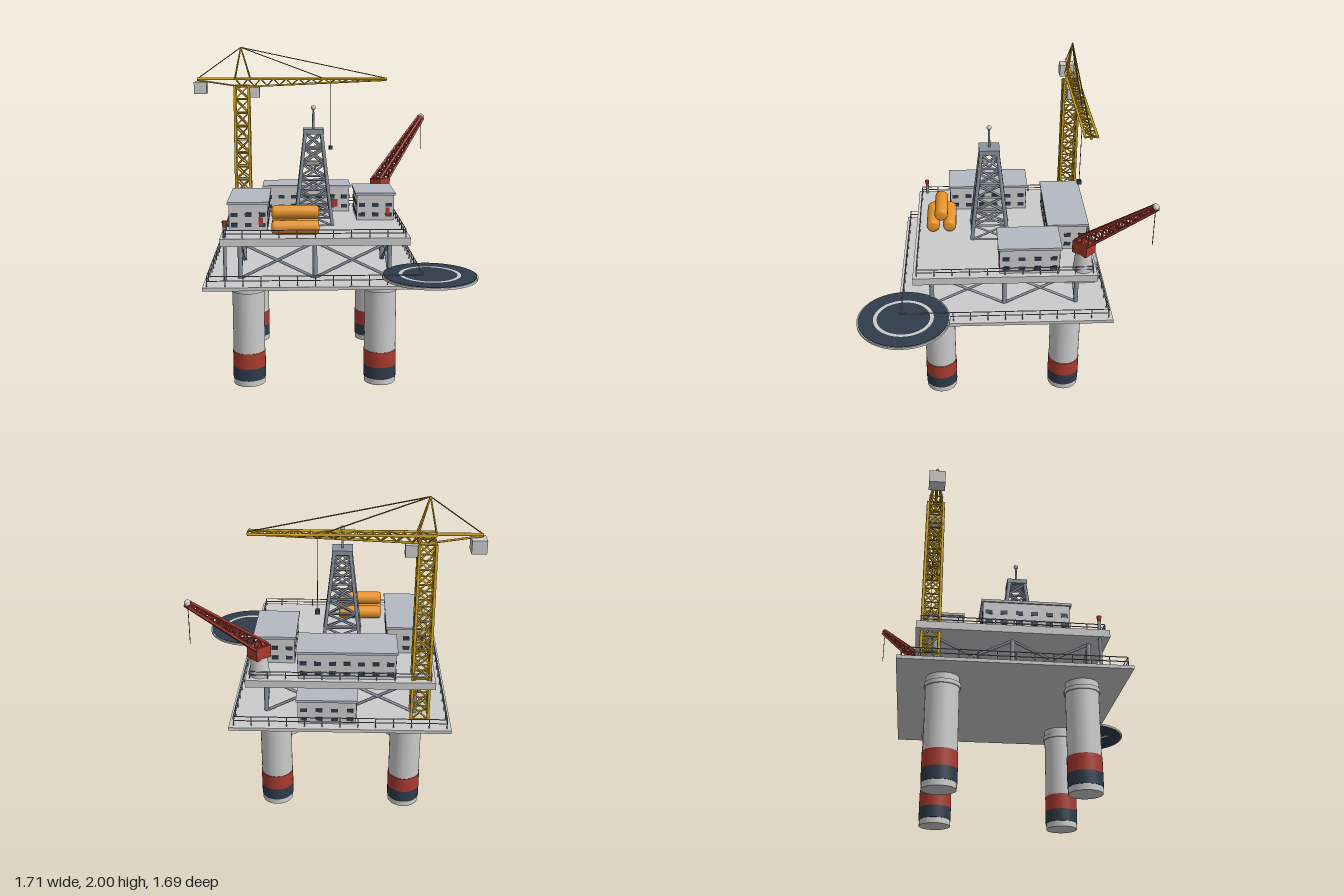
import * as THREE from 'three';
import { mergeGeometries } from 'three/addons/utils/BufferGeometryUtils.js';

const GREY = 0xcccccc, STEEL = 0x8a939e, ROOF = 0xb4bac2, NAVY = 0x2f3c4b, RED = 0xab3b2f, YELLOW = 0xdcae22, ORANGE = 0xe8942a, DARK = 0x3a4048;
const mats = {};
const mat = (c) => (mats[c] ??= new THREE.MeshStandardMaterial({ color: c }));
const V = (x, y, z) => new THREE.Vector3(x, y, z);

// Round bar between two points
function bar(a, b, r, r2 = r, sides = 6) {
  const d = b.clone().sub(a);
  const g = new THREE.CylinderGeometry(r2, r, d.length(), sides);
  g.applyQuaternion(new THREE.Quaternion().setFromUnitVectors(V(0, 1, 0), d.normalize()));
  const m = a.clone().add(b).multiplyScalar(0.5);
  return g.translate(m.x, m.y, m.z);
}

// Box given by its limits
function box(x0, x1, y0, y1, z0, z1) {
  return new THREE.BoxGeometry(x1 - x0, y1 - y0, z1 - z0).translate((x0 + x1) / 2, (y0 + y1) / 2, (z0 + z1) / 2);
}

// Four-chord lattice column from a to b, tapering from half width w0 to w1
function lattice(a, b, w0, w1, n, r, rb, side = V(1, 0, 0)) {
  const up = new THREE.Vector3().crossVectors(side, b.clone().sub(a)).normalize();
  const out = [];
  const corner = (i, k) => {
    const t = i / n, w = w0 + (w1 - w0) * t;
    return a.clone().lerp(b, t)
      .addScaledVector(side, w * (k % 4 === 0 || k % 4 === 3 ? 1 : -1))
      .addScaledVector(up, w * (k % 4 < 2 ? 1 : -1));
  };
  for (let k = 0; k < 4; k++) {
    out.push(bar(corner(0, k), corner(n, k), r));
    for (let i = 0; i <= n; i++) {
      out.push(bar(corner(i, k), corner(i, k + 1), rb));
      if (i === n) continue;
      out.push(bar(corner(i, k), corner(i + 1, k + 1), rb));
      out.push(bar(corner(i, k + 1), corner(i + 1, k), rb));
    }
  }
  return out;
}

export function createModel() {
  const model = new THREE.Group();
  const add = (name, color, geos, parent = model) => {
    const list = Array.isArray(geos) ? geos : [geos];
    const m = new THREE.Mesh(list.length > 1 ? mergeGeometries(list) : list[0], mat(color));
    m.name = name;
    parent.add(m);
    return m;
  };
  const cyl = (x, z, y0, y1, r0, r1 = r0, s = 32) => new THREE.CylinderGeometry(r1, r0, y1 - y0, s).translate(x, (y0 + y1) / 2, z);

  // Legs with painted bands and collar
  for (const x of [-0.477, 0.313]) for (const z of [0.365, -0.423]) {
    const leg = new THREE.Group();
    leg.name = 'leg';
    add('legColumn', GREY, [cyl(x, z, 0, 0.645, 0.095), cyl(x, z, 0.578, 0.602, 0.103)], leg);
    add('navyBand', NAVY, cyl(x, z, 0.035, 0.11, 0.098), leg);
    add('redBand', RED, cyl(x, z, 0.11, 0.205, 0.098), leg);
    model.add(leg);
  }

  // Decks
  add('lowerDeck', GREY, box(-0.725, 0.565, 0.64, 0.66, -0.68, 0.61));
  add('upperDeck', GREY, box(-0.63, 0.47, 0.875, 0.92, -0.585, 0.51));

  // Railings
  function railing(name, x0, x1, z0, z1, y, h, n) {
    const c = [[x0, z0], [x1, z0], [x1, z1], [x0, z1]], geos = [];
    c.forEach(([ax, az], k) => {
      const [bx, bz] = c[(k + 1) % 4];
      for (const f of [0.55, 1]) geos.push(bar(V(ax, y + h * f, az), V(bx, y + h * f, bz), 0.003, 0.003, 5));
      for (let i = 0; i < n; i++) {
        const px = ax + (bx - ax) * i / n, pz = az + (bz - az) * i / n;
        geos.push(bar(V(px, y, pz), V(px, y + h, pz), 0.003, 0.003, 5));
      }
    });
    add(name, STEEL, geos);
  }
  railing('lowerRailing', -0.7, 0.537, -0.655, 0.585, 0.66, 0.06, 12);
  railing('upperRailing', -0.605, 0.445, -0.56, 0.487, 0.92, 0.045, 10);

  // Posts and cross braces between the decks
  const frame = [], s = 0.44, yb = 0.66, yt = 0.875;
  const c4 = [[-s, -s], [s, -s], [s, s], [-s, s]].map(([x, z]) => V(x - 0.08, 0, z - 0.035));
  c4.forEach((a, k) => {
    const b = c4[(k + 1) % 4];
    for (let i = 0; i < 2; i++) {
      const p = a.clone().lerp(b, i / 2), q = a.clone().lerp(b, (i + 1) / 2);
      const at = (v, y) => V(v.x, y, v.z);
      frame.push(bar(at(p, yb), at(p, yt), 0.014, 0.014, 10), bar(at(p, yb), at(q, yt), 0.009), bar(at(q, yb), at(p, yt), 0.009));
    }
  });
  add('deckFrame', STEEL, frame);

  // Buildings: body, roof, rows of windows on each side, and a door
  function building(name, x0, x1, z0, z1, y0, y1) {
    const g = new THREE.Group();
    g.name = name;
    const e = 0.01, h = y1 - y0, w = x1 - x0, d = z1 - z0;
    add('walls', GREY, box(x0 + e, x1 - e, y0, y1 - 0.015, z0 + e, z1 - e), g);
    add('roof', ROOF, box(x0, x1, y1 - 0.015, y1, z0, z1), g);
    const panes = [], t = 0.003, ph = h * 0.07;
    for (const y of [y0 + h * 0.2, y0 + h * 0.56]) {
      const nx = Math.max(2, Math.round(w / 0.085)), nz = Math.max(2, Math.round(d / 0.085));
      for (let i = 0; i < nx; i++) {
        const x = x0 + w * (i + 0.5) / nx;
        for (const z of [z0 + e, z1 - e]) panes.push(box(x - 0.02, x + 0.02, y - ph, y + ph, z - t, z + t));
      }
      for (let i = 0; i < nz; i++) {
        const z = z0 + d * (i + 0.5) / nz;
        for (const x of [x0 + e, x1 - e]) panes.push(box(x - t, x + t, y - ph, y + ph, z - 0.02, z + 0.02));
      }
    }
    add('windows', NAVY, panes, g);
    add('door', RED, box(x0 + w * 0.75, x0 + w * 0.85, y0 + h * 0.18, y0 + h * 0.46, z1 - e, z1 - e + 0.006), g);
    model.add(g);
  }
  building('rearBuilding', -0.41, 0.175, -0.56, -0.305, 0.92, 1.095);
  building('rightBuilding', -0.6, -0.35, -0.22, 0.3, 0.92, 1.095);
  building('leftBuilding', 0.185, 0.44, -0.37, 0.005, 0.92, 1.095);
  building('lowerBuilding', -0.185, 0.175, -0.63, -0.42, 0.66, 0.82);

  // Drilling derrick
  add('derrick', STEEL, lattice(V(-0.08, 0.92, 0.04), V(-0.08, 1.48, 0.04), 0.113, 0.05, 6, 0.012, 0.007));
  add('derrickPlatform', STEEL, box(-0.143, -0.017, 1.48, 1.508, -0.023, 0.103));
  add('derrickMast', STEEL, cyl(-0.08, 0.04, 1.5, 1.63, 0.008, 0.006, 10));
  add('derrickBall', GREY, new THREE.SphereGeometry(0.015, 16, 12).translate(-0.08, 1.635, 0.04));

  // Stacked storage tanks with rounded ends
  const L = 0.139, R = 0.042;
  const profile = [[0, -L], [R - 0.018, -L], [R - 0.006, -L + 0.005], [R, -L + 0.018], [R, L - 0.018], [R - 0.006, L - 0.005], [R - 0.018, L], [0, L]]
    .map(([x, y]) => new THREE.Vector2(x, y));
  for (const [y, z] of [[0.963, 0.4], [0.963, 0.295], [1.043, 0.347]]) {
    add('storageTank', ORANGE, new THREE.LatheGeometry(profile, 24).rotateZ(Math.PI / 2).translate(-0.194, y, z));
  }

  // Vent pipe at the front corner
  add('ventPipe', STEEL, cyl(-0.605, 0.455, 0.66, 0.98, 0.01, 0.01, 12));
  add('ventCap', RED, cyl(-0.605, 0.455, 0.98, 1.015, 0.009, 0.015, 12));

  // Tower crane
  const tower = new THREE.Group();
  tower.name = 'towerCrane';
  const cx = -0.547, cz = -0.503;
  add('towerMast', YELLOW, lattice(V(cx, 0.66, cz), V(cx, 1.745, cz), 0.05, 0.046, 12, 0.009, 0.005), tower);
  const tip = 0.425, n = 12, jib = [];
  const topAt = (t, sgn) => V(-0.59 + (tip + 0.59) * t, 1.79, cz + sgn * 0.034);
  const lowAt = (t) => V(-0.59 + (tip + 0.59) * t, 1.735 + 0.045 * t, cz);
  for (let i = 0; i <= n; i++) {
    jib.push(bar(topAt(i / n, -1), topAt(i / n, 1), 0.004));
    if (i < n) for (const sgn of [-1, 1]) jib.push(bar(topAt(i / n, sgn), lowAt((i + 0.5) / n), 0.004), bar(lowAt((i + 0.5) / n), topAt((i + 1) / n, sgn), 0.004));
    if (i < n) jib.push(bar(topAt(i / n, i % 2 ? 1 : -1), topAt((i + 1) / n, i % 2 ? -1 : 1), 0.004));
  }
  for (const sgn of [-1, 1]) jib.push(bar(topAt(0, sgn), topAt(1, sgn), 0.008));
  jib.push(bar(lowAt(0), lowAt(1), 0.007));
  jib.push(bar(V(-0.845, 1.79, cz), V(cx, 1.79, cz), 0.009), bar(V(-0.845, 1.782, cz), V(cx, 1.737, cz), 0.006));
  add('jib', YELLOW, jib, tower);
  const apex = V(-0.55, 1.997, cz);
  add('apexFrame', YELLOW, [-0.593, -0.49].flatMap((x) => [-1, 1].map((k) => bar(V(x, 1.79, cz + k * 0.034), apex, 0.005))), tower);
  add('stayCables', 0x7d6a20, [-0.84, 0, tip].map((x) => bar(apex, V(x, 1.793, cz), 0.0035)), tower);
  add('counterweight', GREY, box(-0.863, -0.78, 1.693, 1.77, cz - 0.047, cz + 0.047), tower);
  add('operatorCab', GREY, box(-0.497, -0.427, 1.667, 1.735, cz - 0.035, cz + 0.035), tower);
  add('hoistCable', DARK, bar(V(0.05, 1.335, cz), V(0.05, 1.78, cz), 0.002), tower);
  add('hook', NAVY, box(0.037, 0.063, 1.312, 1.338, cz - 0.013, cz + 0.013), tower);
  model.add(tower);

  // Pedestal crane with boom reaching out over the rear corner
  const pedestal = new THREE.Group();
  pedestal.name = 'pedestalCrane';
  add('pedestal', GREY, cyl(0.39, -0.503, 0.92, 1.04, 0.06, 0.048, 20), pedestal);
  add('slewingCab', RED, new THREE.BoxGeometry(0.105, 0.077, 0.09).rotateY(Math.PI / 4).translate(0.39, 1.073, -0.503), pedestal);
  const boomTip = V(0.713, 1.505, -0.823), side = V(1, 0, 1).normalize();
  add('boom', RED, lattice(V(0.378, 1.09, -0.49), boomTip, 0.036, 0.014, 10, 0.008, 0.005, side), pedestal);
  add('boomTip', GREY, new THREE.SphereGeometry(0.019, 16, 12).translate(boomTip.x, boomTip.y + 0.005, boomTip.z), pedestal);
  add('boomCable', DARK, bar(V(0.715, 1.275, -0.825), boomTip, 0.002), pedestal);
  model.add(pedestal);

  // Helipad with plain ring marking and supporting struts
  const pad = new THREE.Group();
  pad.name = 'helipad';
  const px = 0.576, pz = 0.566;
  add('padRim', GREY, cyl(px, pz, 0.7, 0.713, 0.275, 0.275, 48), pad);
  add('padSurface', NAVY, cyl(px, pz, 0.699, 0.716, 0.268, 0.268, 48), pad);
  add('padRing', GREY, new THREE.RingGeometry(0.157, 0.178, 48).rotateX(-Math.PI / 2).translate(px, 0.7175, pz), pad);
  const struts = [[0.62, 0.5, 0.77, 0.5], [0.5, 0.6, 0.5, 0.74], [0.54, 0.58, 0.73, 0.73]];
  add('padStruts', STEEL, struts.map(([ax, az, bx, bz]) => bar(V(Math.min(ax, 0.55), 0.65, Math.min(az, 0.6)), V(bx, 0.7, bz), 0.008)), pad);
  model.add(pad);

  return model;
}
